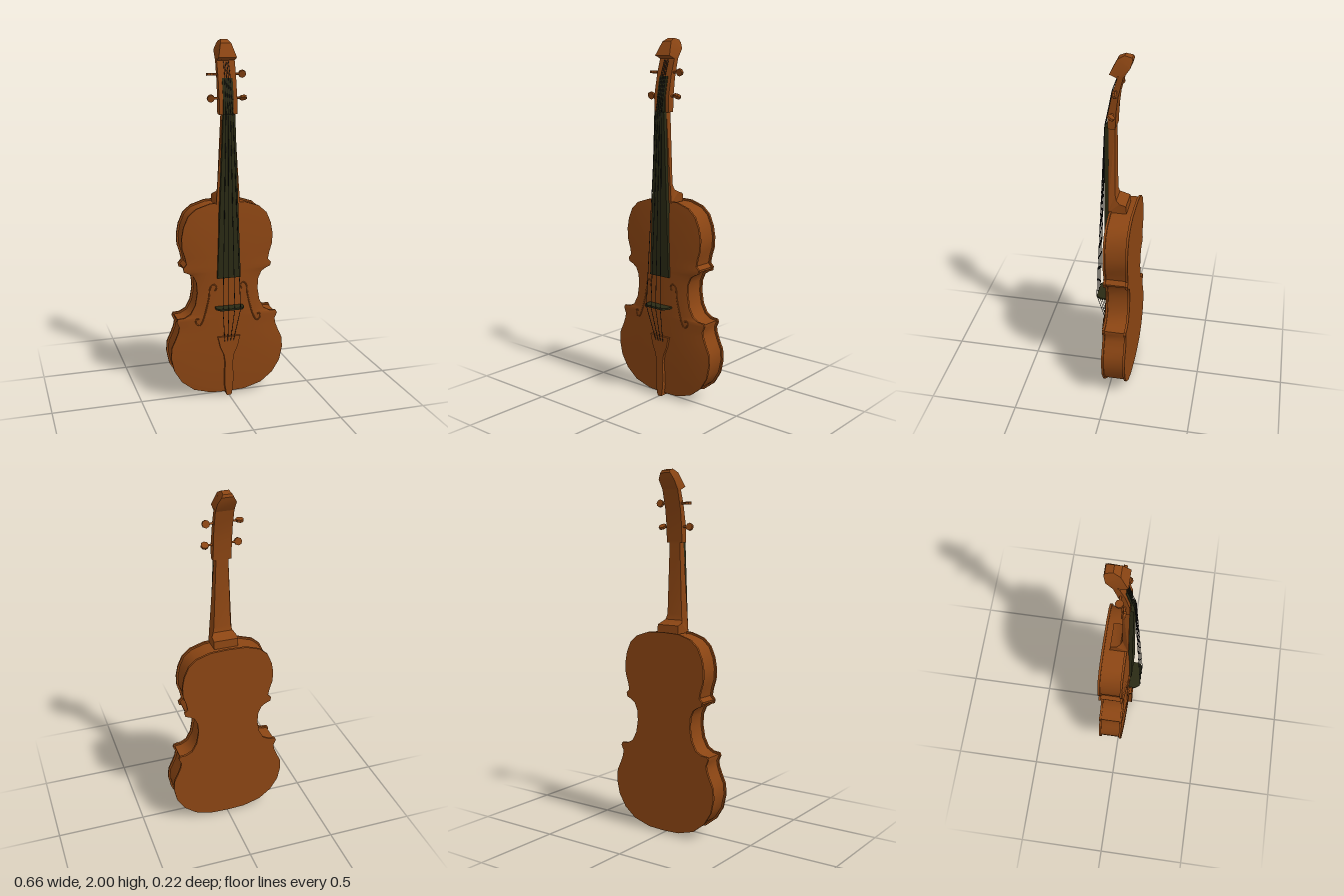
import * as THREE from 'three';
import { toCreasedNormals } from 'three/addons/utils/BufferGeometryUtils.js';

const mat = (name, color) => Object.assign(new THREE.MeshStandardMaterial({ color }), { name });

// Right half of the body outline, bottom to top
const HALF = [
  [0, 0.012], [0.1, 0.016], [0.2, 0.045], [0.27, 0.1], [0.313, 0.17], [0.33, 0.25], [0.325, 0.31],
  [0.302, 0.36], [0.286, 0.4], [0.281, 0.43], [0.295, 0.462], [0.288, 0.478], [0.25, 0.481],
  [0.215, 0.5], [0.188, 0.55], [0.176, 0.62], [0.18, 0.68], [0.198, 0.72], [0.225, 0.738],
  [0.25, 0.748], [0.255, 0.77], [0.236, 0.79], [0.244, 0.83], [0.26, 0.88], [0.262, 0.94],
  [0.251, 1.0], [0.225, 1.06], [0.18, 1.1], [0.1, 1.126], [0, 1.13],
];

// Half width of the body at a height
function halfWidth(y) {
  for (let i = 1; i < HALF.length; i++) {
    const [x0, y0] = HALF[i - 1], [x1, y1] = HALF[i];
    if (y <= y1) return x0 + (x1 - x0) * Math.max(0, (y - y0) / (y1 - y0));
  }
  return 0;
}

// Height of the arched top, u runs from -1 to 1 across the body
function archZ(u, y) {
  const t = Math.abs((y - 0.012) / 0.559 - 1);
  return 0.027 + 0.015 * (1 - Math.abs(u) ** 3) * (1 - Math.min(1, t) ** 4);
}

// Closed outline moved inwards by d
function outline(d) {
  const pts = [...HALF, ...HALF.slice(1, -1).reverse().map(([x, y]) => [-x, y])];
  const n = pts.length;
  return pts.map(([x, y], i) => {
    const a = pts[(i + n - 1) % n], b = pts[(i + 1) % n];
    const dx = b[0] - a[0], dy = b[1] - a[1], l = Math.hypot(dx, dy);
    return [x - d * dy / l, y + d * dx / l];
  });
}

// Front-view profile extruded from z0 to z1
function slab(pts, z0, z1, crease = 0.6) {
  const shape = new THREE.Shape(pts.map(p => new THREE.Vector2(...p)));
  const g = new THREE.ExtrudeGeometry(shape, { depth: z1 - z0, bevelEnabled: false });
  return toCreasedNormals(g.translate(0, 0, z0), crease);
}

// Side-view profile of [z, y] points, width set by a rule of height
function sideSlab(pts, widthAt) {
  const g = slab(pts, -0.5, 0.5).rotateY(-Math.PI / 2);
  const p = g.attributes.position;
  for (let i = 0; i < p.count; i++) p.setX(i, p.getX(i) * 2 * widthAt(p.getY(i), p.getZ(i)));
  g.computeVertexNormals();
  return toCreasedNormals(g, 0.4);
}

function archedTop() {
  const cols = 24, pos = [], idx = [];
  HALF.forEach(([x, y]) => {
    for (let c = 0; c <= cols; c++) {
      const u = c / cols * 2 - 1;
      pos.push(u * x, y, archZ(u, y));
    }
  });
  for (let r = 0; r < HALF.length - 1; r++) {
    for (let c = 0; c < cols; c++) {
      const a = r * (cols + 1) + c, b = a + cols + 1;
      idx.push(a, a + 1, b + 1, a, b + 1, b);
    }
  }
  const g = new THREE.BufferGeometry();
  g.setAttribute('position', new THREE.Float32BufferAttribute(pos, 3));
  g.setIndex(idx);
  g.computeVertexNormals();
  return g;
}

export function createModel() {
  const wood = mat('varnished wood', 0x8b4513);
  const ebony = mat('ebony', 0x2a2a14);
  const wire = mat('string wire', 0x1c1c1c);
  const model = new THREE.Group();
  model.name = 'violin';
  const add = (name, geometry, material, parent = model) => {
    const m = new THREE.Mesh(geometry, material);
    m.name = name;
    parent.add(m);
    return m;
  };
  const mirror = pts => [...pts, ...pts.slice().reverse().map(([x, y]) => [-x, y])];

  // Body: overhanging plates, inset ribs and an arched top
  add('backPlate', slab(outline(0), -0.11, -0.097), wood);
  add('ribs', slab(outline(0.01), -0.1, 0.02), wood);
  add('topPlate', slab(outline(0), 0.014, 0.026), wood);
  add('archedTop', archedTop(), wood);

  // Sound holes
  const fPath = [[0.078, 0.632], [0.07, 0.652], [0.085, 0.67], [0.105, 0.652], [0.112, 0.6], [0.125, 0.54],
    [0.15, 0.46], [0.168, 0.436], [0.188, 0.45], [0.186, 0.474], [0.168, 0.472]];
  for (const s of [-1, 1]) {
    const curve = new THREE.CatmullRomCurve3(fPath.map(([x, y]) =>
      new THREE.Vector3(s * x, y, archZ(x / halfWidth(y), y) - 0.001)));
    add('soundHole', new THREE.TubeGeometry(curve, 48, 0.004, 6), wood);
  }

  // Neck with heel
  add('neck', sideSlab([[0.034, 1.12], [0.034, 1.62], [0, 1.62], [-0.002, 1.22], [-0.01, 1.19],
    [-0.03, 1.176], [-0.065, 1.165], [-0.068, 1.12]],
  y => y < 1.18 ? 0.068 : y < 1.2 ? 0.055 : 0.048 - (y - 1.2) * 0.035), wood);

  // Fingerboard
  add('fingerboard', slab(mirror([[0.067, 0.705], [0.033, 1.612]]), 0.03, 0.055), ebony);

  // Peg box and head
  add('pegBox', sideSlab([[0.036, 1.61], [0.036, 1.69], [0.012, 1.81], [-0.016, 1.9], [-0.045, 1.9],
    [-0.038, 1.87], [-0.018, 1.79], [-0.008, 1.71], [-0.003, 1.61]], () => 0.05), wood);
  add('head', sideSlab([[-0.016, 1.89], [0.028, 1.908], [-0.01, 1.982], [-0.045, 2], [-0.083, 1.992],
    [-0.088, 1.978], [-0.078, 1.945], [-0.042, 1.89]],
  y => y < 1.95 ? 0.05 : 0.05 - (y - 1.945) * 0.55), wood);

  // Dark strip on the face of the peg box
  for (const [y0, z0, y1, z1] of [[1.61, 0.036, 1.69, 0.036], [1.69, 0.036, 1.8, 0.014]]) {
    const strip = add('pegBoxStrip', new THREE.BoxGeometry(0.058, Math.hypot(y1 - y0, z1 - z0), 0.006), ebony);
    strip.position.set(0, (y0 + y1) / 2, (z0 + z1) / 2);
    strip.rotation.x = Math.atan2(z1 - z0, y1 - y0);
  }

  // Tuning pegs with flat octagonal heads
  for (const [s, y, z, turn] of [[1, 1.82, -0.008, 0.3], [-1, 1.82, -0.008, 1.5],
    [1, 1.695, 0.012, 1.0], [-1, 1.695, 0.012, 0.3]]) {
    const peg = new THREE.Group();
    peg.name = 'tuningPeg';
    const shaft = add('pegShaft', new THREE.CylinderGeometry(0.006, 0.006, 0.05, 8), wood, peg);
    shaft.rotation.z = Math.PI / 2;
    shaft.position.x = s * 0.06;
    const head = add('pegHead', toCreasedNormals(
      new THREE.CylinderGeometry(0.021, 0.021, 0.014, 8).rotateX(Math.PI / 2), 0.3), wood, peg);
    head.position.x = s * 0.09;
    head.rotation.x = turn;
    peg.position.set(0, y, z);
    model.add(peg);
  }

  // Bridge
  const bridge = add('bridge', slab(mirror([[0.08, 0.03], [0.08, 0.078], [0.062, 0.104]]), -0.005, 0.005), ebony);
  bridge.rotation.x = Math.PI / 2;
  bridge.position.y = 0.535;

  // Tailpiece and end button
  add('tailpiece', slab(mirror([[0.015, 0.004], [0.024, 0.06], [0.026, 0.12], [0.022, 0.2], [0.03, 0.25],
    [0.052, 0.3], [0.058, 0.33], [0.066, 0.358]]), 0.032, 0.055), wood);
  add('endButton', slab(mirror([[0.012, 0], [0.018, 0.03]]), 0, 0.055), wood);

  // Strings from tailpiece over bridge and nut to the peg box
  for (const k of [-1.5, -0.5, 0.5, 1.5]) {
    const pts = [[0.017, 0.33, 0.056], [0.034, 0.535, 0.106], [0.013, 1.612, 0.058], [0.011, 1.69, 0.042],
      [0.01, 1.81, 0.019], [0.009, 1.885, -0.008]].map(([x, y, z]) => new THREE.Vector3(k * x, y, z));
    const path = new THREE.CurvePath();
    for (let i = 1; i < pts.length; i++) path.add(new THREE.LineCurve3(pts[i - 1], pts[i]));
    add('string', new THREE.TubeGeometry(path, 80, 0.0018, 5), wire);
  }
  return model;
}
